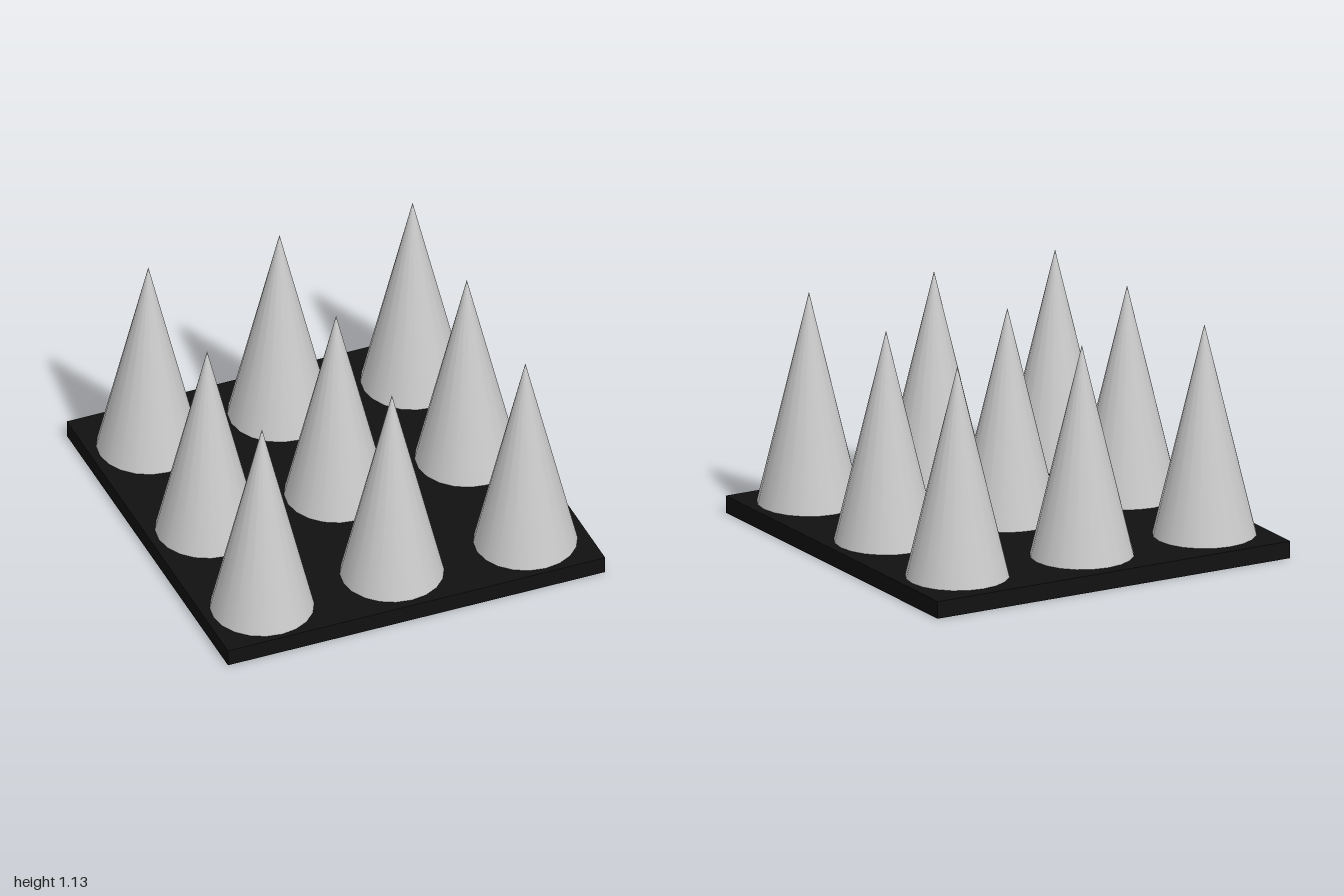
import * as THREE from 'three';

export function createModel() {
  const model = new THREE.Group();
  const grey = new THREE.MeshStandardMaterial({ color: 0xcccccc });
  const black = new THREE.MeshStandardMaterial({ color: 0x111111 });
  const baseHeight = 0.085, coneHeight = 1.045, coneRadius = 0.25;

  // Flat square base
  const base = new THREE.Mesh(new THREE.BoxGeometry(1.95, baseHeight, 2), black);
  base.name = 'base';
  base.position.y = baseHeight / 2;
  model.add(base);

  // Three columns of cones, slightly uneven in depth
  const coneGeometry = new THREE.ConeGeometry(coneRadius, coneHeight, 20);
  const columns = [
    { x: -0.685, z: [-0.685, 0.045, 0.725] },
    { x: -0.007, z: [-0.685, 0.018, 0.71] },
    { x: 0.679, z: [-0.68, -0.007, 0.72] },
  ];
  const cones = new THREE.Group();
  cones.name = 'cones';
  for (const { x, z: depths } of columns) {
    for (const z of depths) {
      const cone = new THREE.Mesh(coneGeometry, grey);
      cone.name = 'cone';
      cone.position.set(x, baseHeight + coneHeight / 2, z);
      cones.add(cone);
    }
  }
  model.add(cones);
  return model;
}
